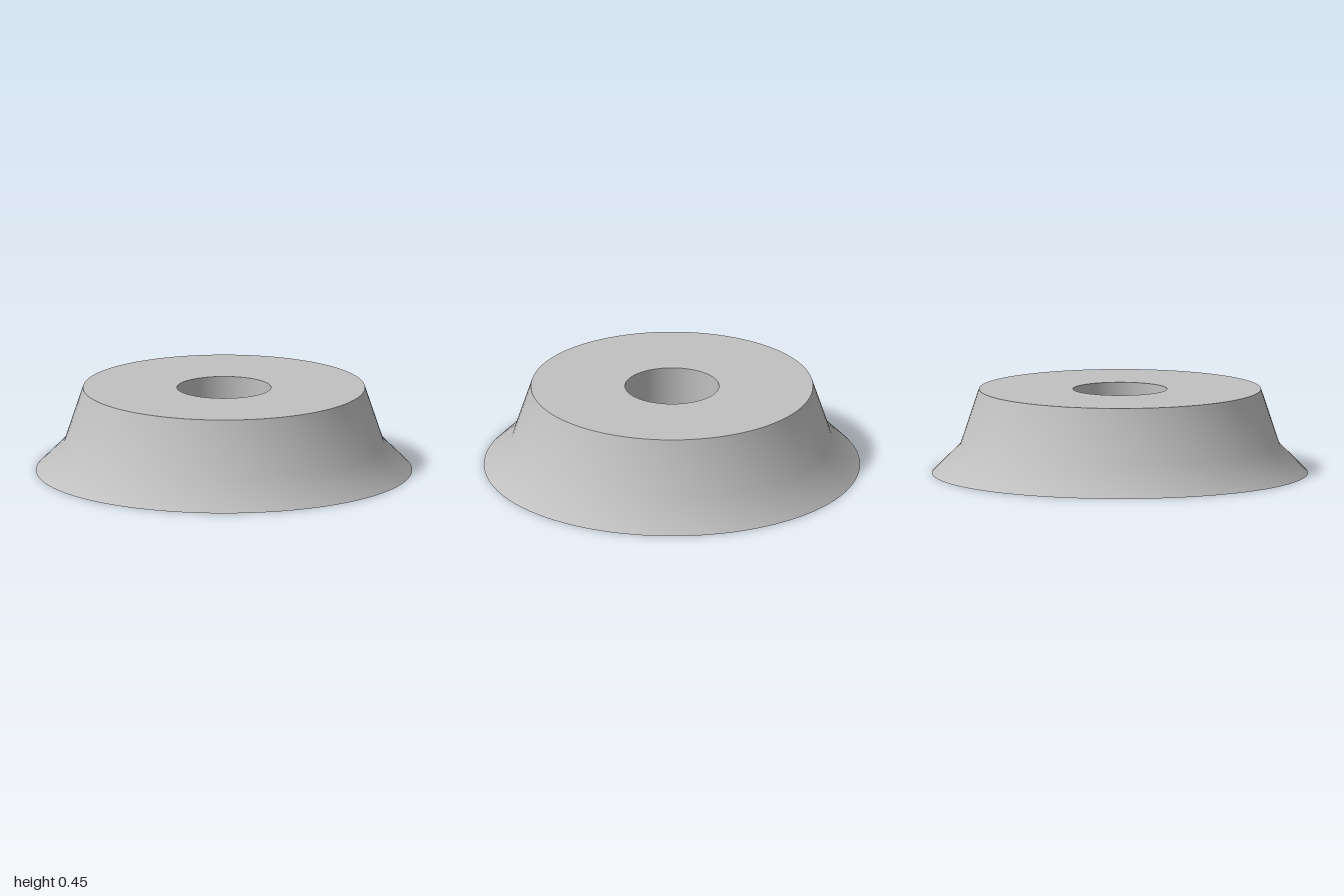
import * as THREE from 'three';

export function createModel() {
  const group = new THREE.Group();
  group.name = 'flangedRing';
  const grey = new THREE.MeshStandardMaterial({ color: 0xc0c0c0 });
  grey.name = 'light grey';

  // Each surface is its own lathe, so the edges between them stay sharp
  const addSurface = (name, profile) => {
    const points = profile.map(([r, y]) => new THREE.Vector2(r, y));
    const mesh = new THREE.Mesh(new THREE.LatheGeometry(points, 96), grey);
    mesh.name = name;
    group.add(mesh);
  };

  // Profile runs counter-clockwise so every face points outward
  addSurface('base', [[0.25, 0], [1, 0]]);
  addSurface('flaredWall', [[1, 0], [0.85, 0.15], [0.75, 0.45]]);
  addSurface('topFace', [[0.75, 0.45], [0.25, 0.45]]);
  addSurface('bore', [[0.25, 0.45], [0.25, 0]]);

  return group;
}
